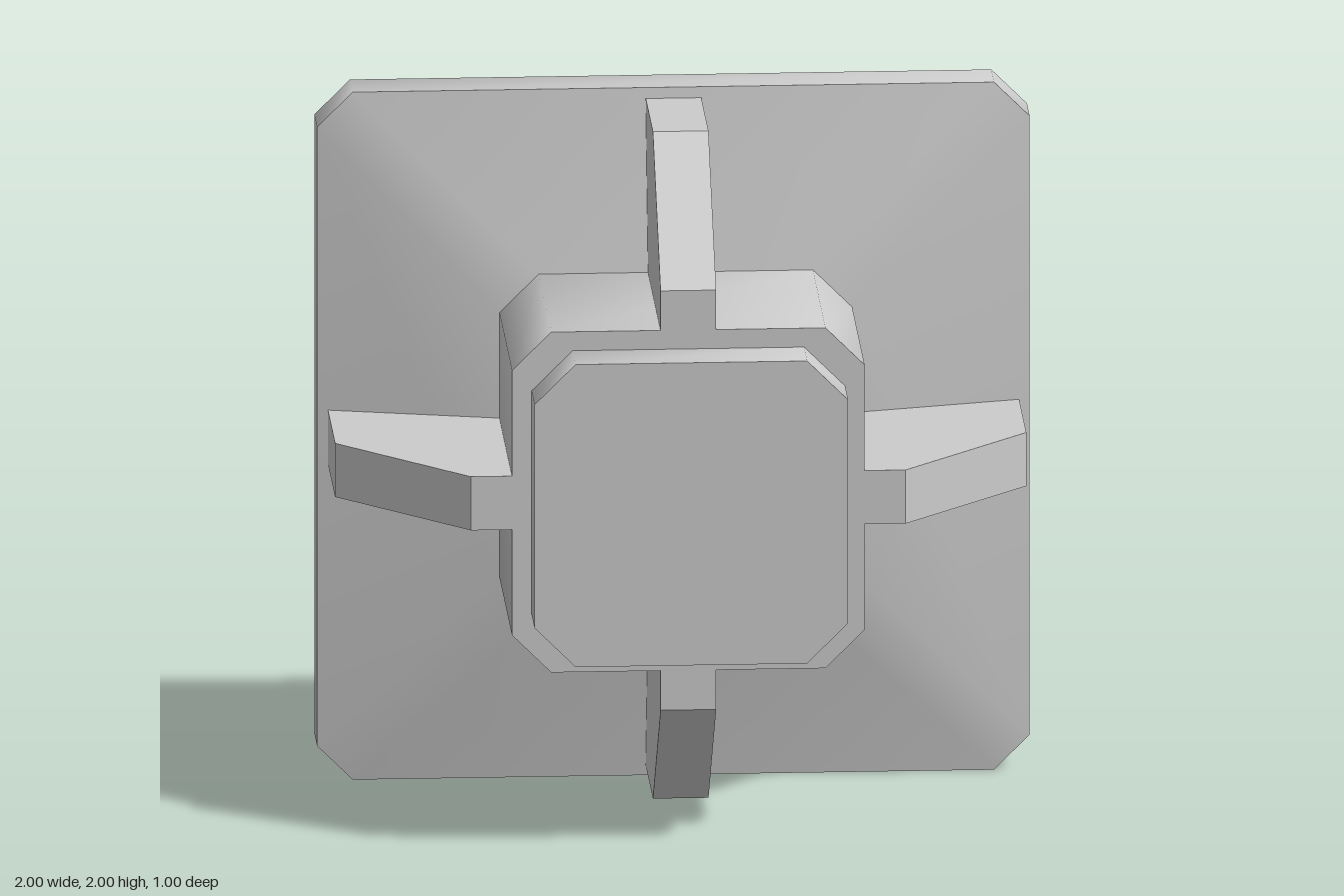
import * as THREE from 'three';
import { toCreasedNormals } from 'three/addons/utils/BufferGeometryUtils.js';

const material = new THREE.MeshStandardMaterial({ color: 0xcccccc });

// Corners of a square with cut corners, counter-clockwise seen from +z
function cutSquare({ half: h, cut, z }) {
  const k = h - cut;
  return [[h, -k], [h, k], [k, h], [-k, h], [-h, k], [-h, -k], [-k, -h], [k, -h]]
    .map(([x, y]) => [x, y, z]);
}

// Closed solid through sections ordered from back to front
function loft(sections) {
  const rings = sections.map(cutSquare);
  const n = rings[0].length;
  const index = [];
  for (let r = 0; r < rings.length - 1; r++) {
    for (let i = 0; i < n; i++) {
      const a = r * n + i, b = r * n + (i + 1) % n;
      index.push(a, b, b + n, a, b + n, a + n);
    }
  }
  const front = (rings.length - 1) * n;
  for (let i = 1; i < n - 1; i++) {
    index.push(0, i + 1, i);
    index.push(front, front + i, front + i + 1);
  }
  const geometry = new THREE.BufferGeometry();
  geometry.setAttribute('position', new THREE.Float32BufferAttribute(rings.flat(2), 3));
  geometry.setIndex(index);
  return toCreasedNormals(geometry, 0.9); // soft cut corners, sharp rims
}

// Bracing fin: outline in radius and depth, given a thickness
function finGeometry(thickness) {
  const outline = [[0.49, -0.365], [0.97, -0.365], [0.97, -0.015], [0.61, 0.355], [0.49, 0.355]];
  const shape = new THREE.Shape(outline.map(([r, z]) => new THREE.Vector2(r, z)));
  return new THREE.ExtrudeGeometry(shape, { depth: thickness, bevelEnabled: false })
    .translate(0, 0, -thickness / 2)
    .rotateX(Math.PI / 2);
}

export function createModel() {
  const model = new THREE.Group();
  model.name = 'flangedHub';
  const add = (name, geometry) => {
    const mesh = new THREE.Mesh(geometry, material);
    mesh.name = name;
    mesh.position.y = 1;
    model.add(mesh);
    return mesh;
  };

  // Back plate, sloping in to the square hub
  add('plateAndHub', loft([
    { half: 1, cut: 0.1, z: -0.5 },
    { half: 1, cut: 0.1, z: -0.368 },
    { half: 0.495, cut: 0.11, z: -0.25 },
    { half: 0.495, cut: 0.11, z: 0.355 },
  ]));

  // Smaller raised cap on the hub front
  add('cap', loft([
    { half: 0.44, cut: 0.115, z: 0.35 },
    { half: 0.44, cut: 0.115, z: 0.5 },
  ]));

  // Four fins around the hub
  const fin = finGeometry(0.156);
  ['leftFin', 'topFin', 'rightFin', 'bottomFin'].forEach((name, i) => {
    add(name, fin).rotation.z = i * Math.PI / 2;
  });

  return model;
}
